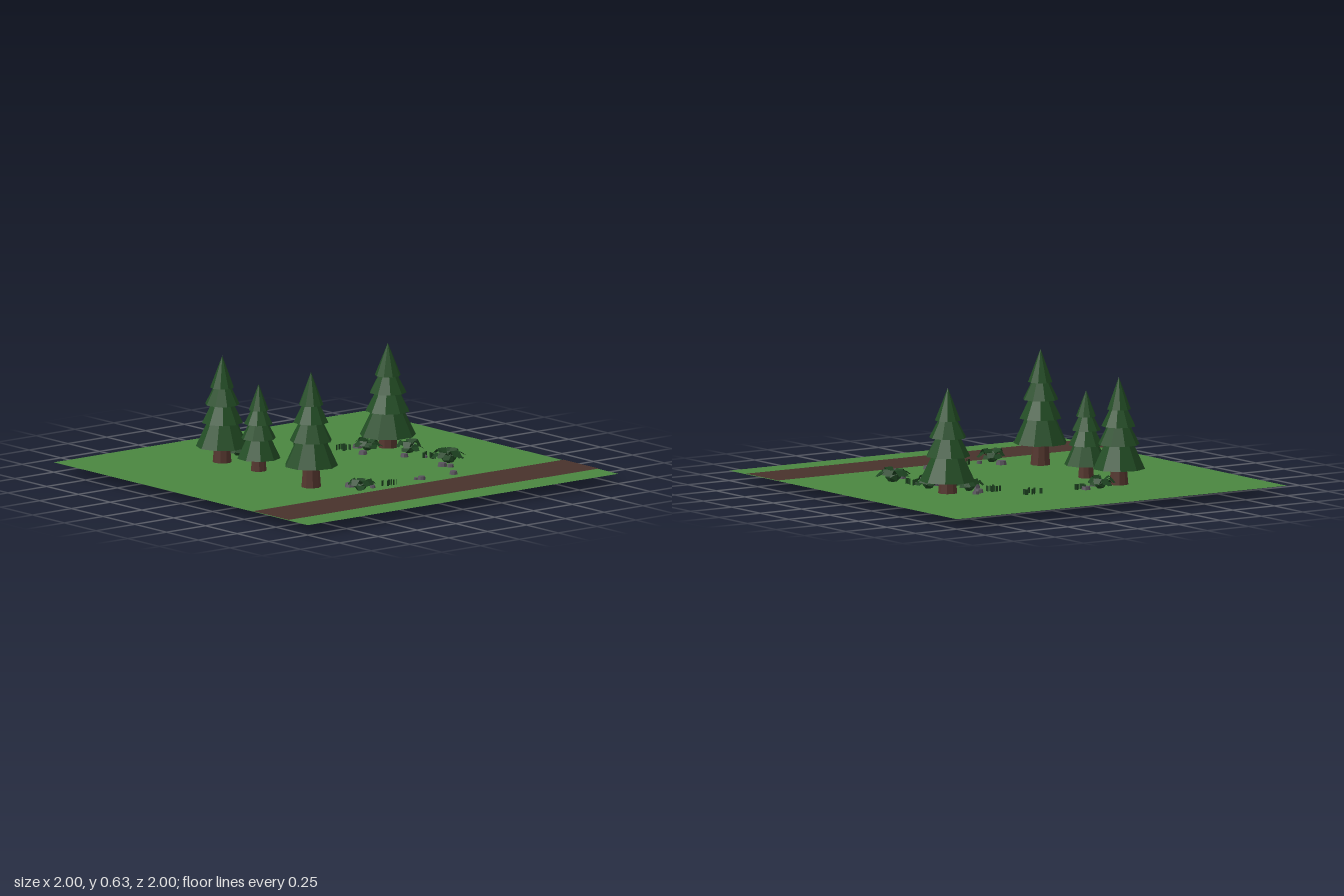
import * as THREE from 'three';

const mat = (name, color, extra = {}) => {
  const m = new THREE.MeshStandardMaterial({ color, flatShading: true, ...extra });
  m.name = name;
  return m;
};

export function createModel() {
  const group = new THREE.Group();
  const both = { side: THREE.DoubleSide };
  const grassGreen = mat('grass green', 0x4a8640, both);
  const pathBrown = mat('path brown', 0x48322b, both);
  const needleGreen = mat('needle green', 0x224c24);
  const barkBrown = mat('bark brown', 0x54362e);
  const leafGreen = mat('leaf green', 0x1d4220, both);
  const stoneGrey = mat('stone grey', 0x58535c);
  const G = 0.05; // ground level

  let seed = 7;
  const rnd = () => (seed = (seed * 16807) % 2147483647) / 2147483647;

  const add = (parent, name, geo, material, x = 0, y = 0, z = 0) => {
    const m = new THREE.Mesh(geo, material);
    m.name = name;
    m.position.set(x, y, z);
    parent.add(m);
    return m;
  };

  // Lawn and dirt path
  add(group, 'lawn', new THREE.PlaneGeometry(2, 2).rotateX(-Math.PI / 2), grassGreen, 0, G, 0);
  add(group, 'path', new THREE.PlaneGeometry(2, 0.28).rotateX(-Math.PI / 2), pathBrown, 0, G + 0.003, 0.71);

  // Conifers: tiers are [bottom, top, bottom radius, top radius] as fractions of crown height and width
  const tiers = [
    [0, 0.31, 1, 0.5],
    [0.265, 0.5, 0.79, 0.38],
    [0.465, 0.69, 0.66, 0.27],
    [0.65, 1, 0.46, 0],
  ];
  function conifer(x, z, foot, crown, top, r, turn) {
    const tree = new THREE.Group();
    tree.name = 'conifer';
    tree.position.set(x, 0, z);
    tree.rotation.y = turn;
    const h = top - crown;
    const trunkH = crown + 0.06 - foot;
    add(tree, 'trunk', new THREE.CylinderGeometry(r * 0.27, r * 0.37, trunkH, 9), barkBrown, 0, foot + trunkH / 2, 0);
    tiers.forEach(([b, t, rb, rt], i) => {
      const geo = new THREE.CylinderGeometry(r * rt, r * rb, (t - b) * h, 9);
      const m = add(tree, 'branchTier', geo, needleGreen, 0, crown + ((b + t) / 2) * h, 0);
      m.rotation.y = i * 0.25;
    });
    group.add(tree);
  }
  conifer(-0.39, 0.28, 0.052, 0.16, 0.635, 0.135, 0.2);
  conifer(-0.34, -0.48, 0.04, 0.13, 0.59, 0.132, 0.5);
  conifer(-0.335, -0.2, 0.04, 0.115, 0.49, 0.11, 0.1);
  conifer(0.53, -0.24, 0, 0.112, 0.58, 0.142, 0.35);

  // Arched leaf: a strip that rises, then droops outward
  function leafGeometry(len, height, width) {
    const geo = new THREE.PlaneGeometry(width, 1, 1, 3);
    const p = geo.attributes.position;
    for (let i = 0; i < p.count; i++) {
      const t = p.getY(i) + 0.5;
      p.setXYZ(i, p.getX(i) * (0.5 + 1.5 * Math.sin(t * 2.6)), height * Math.sin(t * 2.5), t * len);
    }
    geo.computeVertexNormals();
    return geo;
  }
  // Bushes: [x, z, radius]
  const bushes = [[-0.18, -0.55, 0.07], [0.4, -0.24, 0.07], [0.52, -0.06, 0.075], [0.53, 0.24, 0.09], [-0.25, 0.5, 0.075]];
  for (const [x, z, r] of bushes) {
    const bush = new THREE.Group();
    bush.name = 'bush';
    bush.position.set(x, G - 0.003, z);
    for (let i = 0; i < 14; i++) {
      const len = r * (0.75 + 0.35 * rnd());
      const leaf = add(bush, 'leaf', leafGeometry(len, 0.035 + 0.035 * rnd(), 0.022), leafGreen);
      leaf.rotation.y = (i / 14) * Math.PI * 2 + rnd() * 0.3;
    }
    add(bush, 'bushCore', new THREE.IcosahedronGeometry(r * 0.45, 0).scale(1, 0.8, 1), leafGreen, 0, 0.025, 0);
    group.add(bush);
  }

  // Stones: [x, z, size]
  const stones = [
    [-0.1, -0.54, 0.045], [-0.2, -0.46, 0.04], [0.4, -0.32, 0.05], [0.44, -0.355, 0.035], [0.32, -0.18, 0.045],
    [0.44, 0, 0.04], [0.508, 0.08, 0.025], [0.44, 0.3, 0.05], [0.46, 0.34, 0.035], [0.36, 0.485, 0.042],
    [0.155, 0.485, 0.042], [0.125, 0.475, 0.022], [-0.235, 0.4, 0.055], [-0.165, 0.49, 0.03],
  ];
  for (const [x, z, s] of stones) {
    const h = 0.014 + s * 0.25;
    const stone = new THREE.CylinderGeometry(s * 0.42, s * 0.55, h, 8);
    add(group, 'stone', stone, stoneGrey, x, G - 0.008 + h / 2, z).rotation.y = rnd() * 3;
  }

  // Grass tufts of thin upright blades: [x, z, spread x, spread z]
  const tufts = [[0.2, -0.5, 0.05, 0.03], [0.31, -0.33, 0.03, 0.04], [0.51, 0.1, 0.02, 0.04], [-0.06, 0.49, 0.05, 0.02], [-0.07, -0.53, 0.03, 0.02], [0.24, 0.49, 0.0, 0.0]];
  for (const [x, z, sx, sz] of tufts) {
    if (!sx) continue;
    const tuft = new THREE.Group();
    tuft.name = 'grassTuft';
    for (let i = 0; i < 8; i++) {
      const blade = new THREE.PlaneGeometry(0.014, 0.03);
      const m = add(tuft, 'blade', blade, leafGreen, x + (rnd() * 2 - 1) * sx, G + 0.013, z + (rnd() * 2 - 1) * sz);
      m.rotation.y = rnd() * Math.PI;
    }
    group.add(tuft);
  }
  return group;
}
